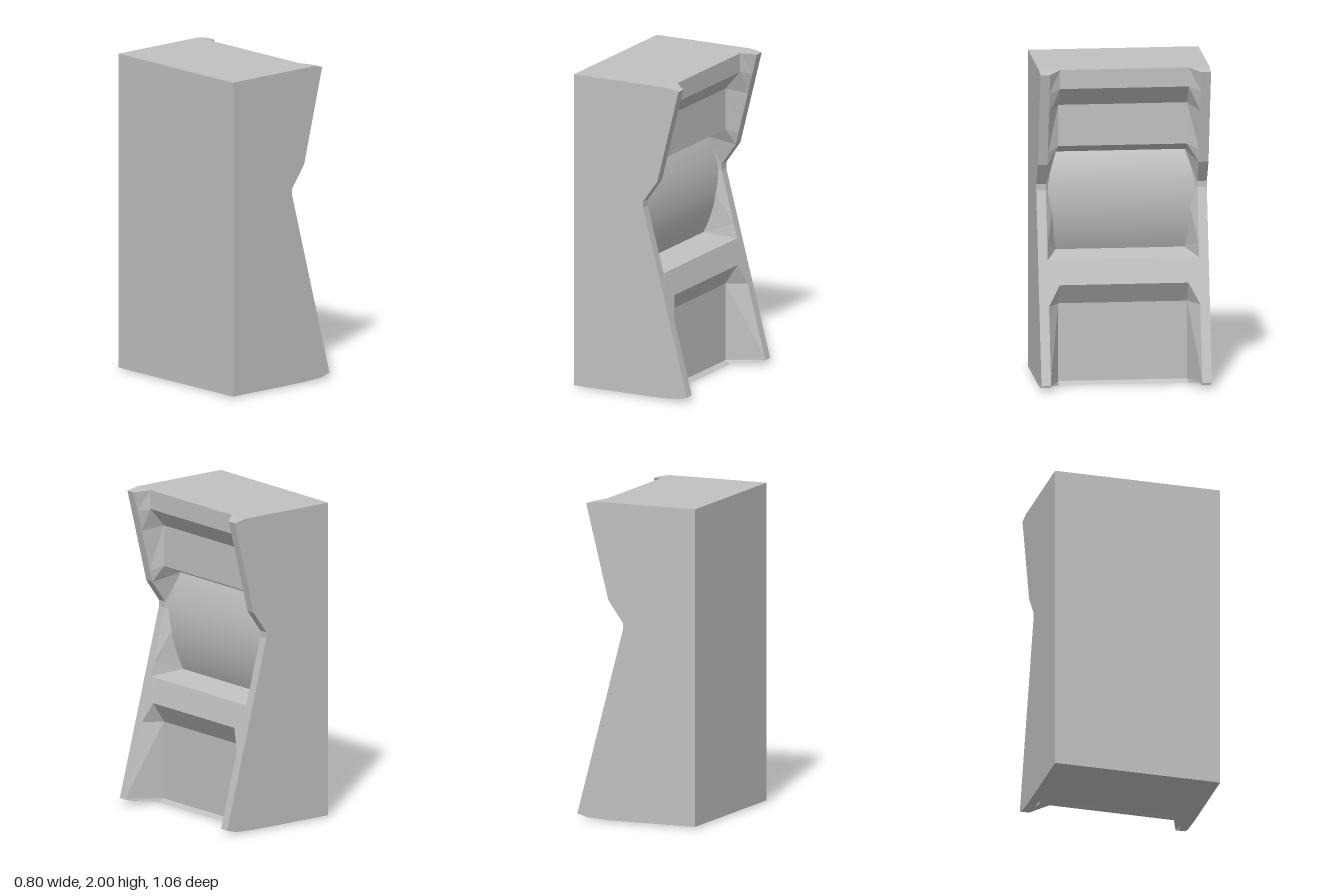
import * as THREE from 'three';
import { toCreasedNormals } from 'three/addons/utils/BufferGeometryUtils.js';

const BACK = -0.4, INNER = 0.4, RIM = 0.47, OUTER = 0.53;

// Edge of the side panels, bottom to top: [x, y]
const rim = [[0.4, 0.035], [0.09, 1.21], [0.09, 1.25], [0.19, 1.39], [0.34, 1.985]];

// Recessed face, bottom to top: [x, y, height where its bevel meets the rim]
const rows = [
  [0.19, 0, 0.035], [0.155, 0.02, 0.06], [0.155, 0.51, 0.51], [0.24, 0.64, 0.64],
  [0.2, 0.79, 0.76], [0, 0.82, 0.88], [0, 1.2, 1.21], [0, 1.24, 1.25], [0.02, 1.44, 1.39],
  [0.155, 1.5, 1.47], [0.155, 1.76, 1.73], [0.26, 1.88, 1.86], [0.26, 2, 1.985],
];

function rimX(y) {
  for (let i = 1; i < rim.length; i++) {
    const [x0, y0] = rim[i - 1], [x1, y1] = rim[i];
    if (y <= y1) return x0 + (x1 - x0) * (y - y0) / (y1 - y0);
  }
  return rim[rim.length - 1][0];
}

// Extrude an x-y outline between two depths
function slab(points, z0, z1) {
  const shape = new THREE.Shape(points.map(([x, y]) => new THREE.Vector2(x, y)));
  const geo = new THREE.ExtrudeGeometry(shape, { depth: z1 - z0, bevelEnabled: false });
  return geo.translate(0, 0, z0);
}

// Sloping faces joining the recessed face to one side panel
function bevel(side) {
  const pos = [];
  const tri = (a, b, c) => pos.push(...a, ...(side > 0 ? b : c), ...(side > 0 ? c : b));
  const inner = rows.map(([x, y]) => [x, y, side * INNER]);
  const outer = rows.map((r) => [rimX(r[2]), r[2], side * RIM]);
  for (let i = 0; i < rows.length - 1; i++) {
    tri(inner[i], inner[i + 1], outer[i]);
    tri(inner[i + 1], outer[i + 1], outer[i]);
  }
  // Small closing faces at the bottom and top
  const last = rows.length - 1;
  const corner = (i) => [inner[i][0], inner[i][1], side * RIM];
  tri(inner[0], outer[0], corner(0));
  tri(inner[last], corner(last), outer[last]);
  const geo = new THREE.BufferGeometry();
  geo.setAttribute('position', new THREE.Float32BufferAttribute(pos, 3));
  geo.computeVertexNormals();
  return geo;
}

export function createModel() {
  const group = new THREE.Group();
  const grey = new THREE.MeshStandardMaterial({ color: 0xc0c0c0 });
  grey.name = 'cabinet grey';
  const add = (name, geo) => {
    const mesh = new THREE.Mesh(geo, grey);
    mesh.name = name;
    group.add(mesh);
  };

  // Cabinet body with marquee, screen recess, control ledge and lower wall
  add('cabinetBody', slab([[BACK, 0.008], [0.14, 0.008],
    ...rows.map(([x, y]) => [x, y]), [BACK, 2]], -RIM, RIM));

  // Side panels and their inner bevels
  const panel = [[BACK, 0.008], [0.18, 0.008], [0.33, 0.015], ...rim, [0.26, 2], [BACK, 2]];
  for (const side of [1, -1]) {
    const label = side > 0 ? 'left' : 'right';
    add(label + 'SidePanel', slab(panel, side > 0 ? RIM : -OUTER, side > 0 ? OUTER : -RIM));
    add(label + 'PanelBevel', bevel(side));
  }

  // Bulging screen: a shallow arc from the ledge to the hood
  const arc = [[-0.05, 0.82]];
  for (let i = 0; i <= 24; i++) {
    const t = i / 24;
    arc.push([0.02 * t + 0.065 * (1 - (2 * t - 1) ** 2), 0.82 + 0.62 * t]);
  }
  arc.push([-0.05, 1.44]);
  add('screen', toCreasedNormals(slab(arc, -0.455, 0.455), 0.4));

  return group;
}
